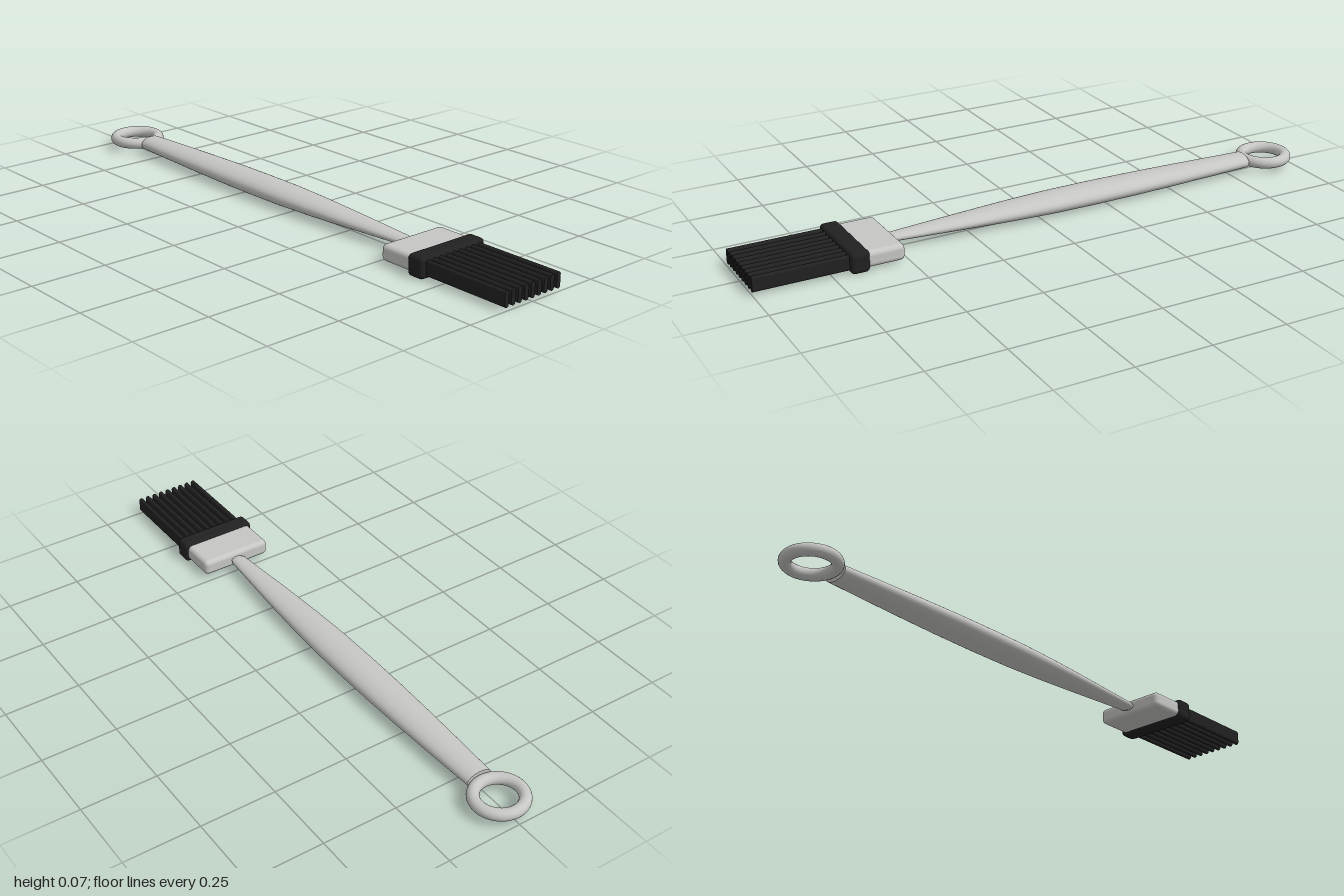
import * as THREE from 'three';
import { mergeVertices } from 'three/addons/utils/BufferGeometryUtils.js';
import { RoundedBoxGeometry } from 'three/addons/geometries/RoundedBoxGeometry.js';

const MID = 0.037; // height of the centre line

// Handle stations: [x, half height, half width]
const STATIONS = [
  [-0.815, 0.025, 0.044], [-0.66, 0.028, 0.051], [-0.5, 0.031, 0.057], [-0.35, 0.033, 0.061],
  [-0.2, 0.034, 0.062], [-0.05, 0.033, 0.061], [0.1, 0.029, 0.055], [0.25, 0.023, 0.046],
  [0.38, 0.018, 0.036], [0.505, 0.013, 0.026], [0.512, 0.01, 0.022],
];

// Elliptical tapered bar: a cylinder whose rings are moved to the stations
function makeHandle() {
  const last = STATIONS.length - 1;
  const geo = new THREE.CylinderGeometry(1, 1, 1, 40, last);
  geo.rotateZ(-Math.PI / 2);
  const p = geo.attributes.position;
  for (let i = 0; i < p.count; i++) {
    const [x, h, w] = STATIONS[Math.round((p.getX(i) + 0.5) * last)];
    p.setXYZ(i, x, p.getY(i) * h, p.getZ(i) * w);
  }
  geo.deleteAttribute('uv');
  const merged = mergeVertices(geo, 1e-4); // closes the seam, keeps the end caps sharp
  merged.computeVertexNormals();
  return merged;
}

// Capsule-shaped blade running along x
function makeBristle(length, height, width) {
  const r = width / 2, s = height / 2 - r;
  const shape = new THREE.Shape();
  shape.absarc(0, s, r, 0, Math.PI, false);
  shape.absarc(0, -s, r, Math.PI, Math.PI * 2, false);
  shape.closePath();
  const geo = new THREE.ExtrudeGeometry(shape, { depth: length, bevelEnabled: false, curveSegments: 8 });
  return geo.rotateY(Math.PI / 2);
}

export function createModel() {
  const model = new THREE.Group();
  const steel = new THREE.MeshStandardMaterial({ color: 0xc6c6c4 });
  steel.name = 'steel';
  const rubber = new THREE.MeshStandardMaterial({ color: 0x212121 });
  rubber.name = 'blackSilicone';

  const add = (name, geo, material, x = 0, y = MID, z = 0) => {
    const mesh = new THREE.Mesh(geo, material);
    mesh.name = name;
    mesh.position.set(x, y, z);
    model.add(mesh);
    return mesh;
  };

  // Hanging ring and handle
  const ring = new THREE.TorusGeometry(0.0755, 0.0195, 20, 56).rotateX(Math.PI / 2);
  add('hangingRing', ring, steel, -0.905);
  add('handle', makeHandle(), steel);
  add('neck', new THREE.CylinderGeometry(0.01, 0.01, 0.04, 20).rotateZ(Math.PI / 2).scale(1, 1, 2.2), steel, 0.515);

  // Head: metal ferrule with a silicone collar
  add('ferrule', new RoundedBoxGeometry(0.145, 0.054, 0.248, 4, 0.016), steel, 0.5885);
  add('collar', new RoundedBoxGeometry(0.062, 0.07, 0.265, 4, 0.014), rubber, 0.665, 0.0365);

  // Row of nine bristles
  const bristle = makeBristle(0.32, 0.051, 0.0155);
  for (let i = -4; i <= 4; i++) add('bristle', bristle, rubber, 0.68, MID, i * 0.0268);

  return model;
}
